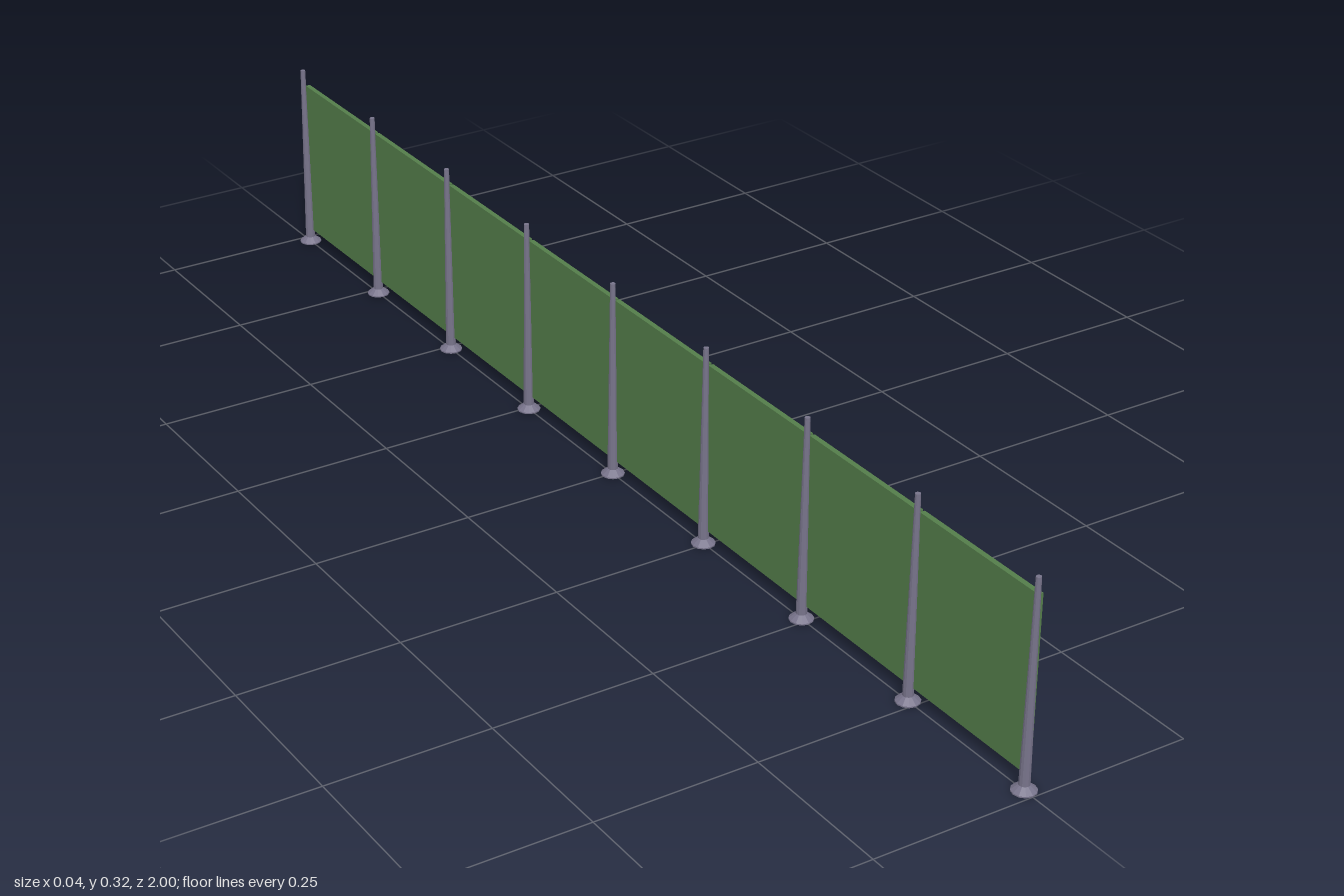
import * as THREE from 'three';

export function createModel() {
  const group = new THREE.Group();
  group.name = 'screenFence';
  const metal = new THREE.MeshStandardMaterial({ color: 0x77738a, flatShading: true });
  const green = new THREE.MeshStandardMaterial({ color: 0x547d4a });

  const bays = 8, half = 0.982, step = (2 * half) / bays, gap = 0.004;

  // tapered post and flared foot, turned in one profile
  const profile = [[0, 0], [0.018, 0], [0.018, 0.002], [0.008, 0.01], [0.004, 0.316], [0, 0.316]]
    .map(([r, y]) => new THREE.Vector2(r, y));
  const postGeometry = new THREE.LatheGeometry(profile, 12);
  for (let i = 0; i <= bays; i++) {
    const post = new THREE.Mesh(postGeometry, metal);
    post.name = 'post' + (i + 1);
    post.position.z = -half + i * step;
    group.add(post);
  }

  // thin panels hung on the left side of the posts, with narrow joints
  const panelGeometry = new THREE.BoxGeometry(0.008, 0.266, step - gap);
  for (let i = 0; i < bays; i++) {
    const panel = new THREE.Mesh(panelGeometry, green);
    panel.name = 'panel' + (i + 1);
    panel.position.set(0.007, 0.155, -half + (i + 0.5) * step);
    group.add(panel);
  }
  return group;
}
